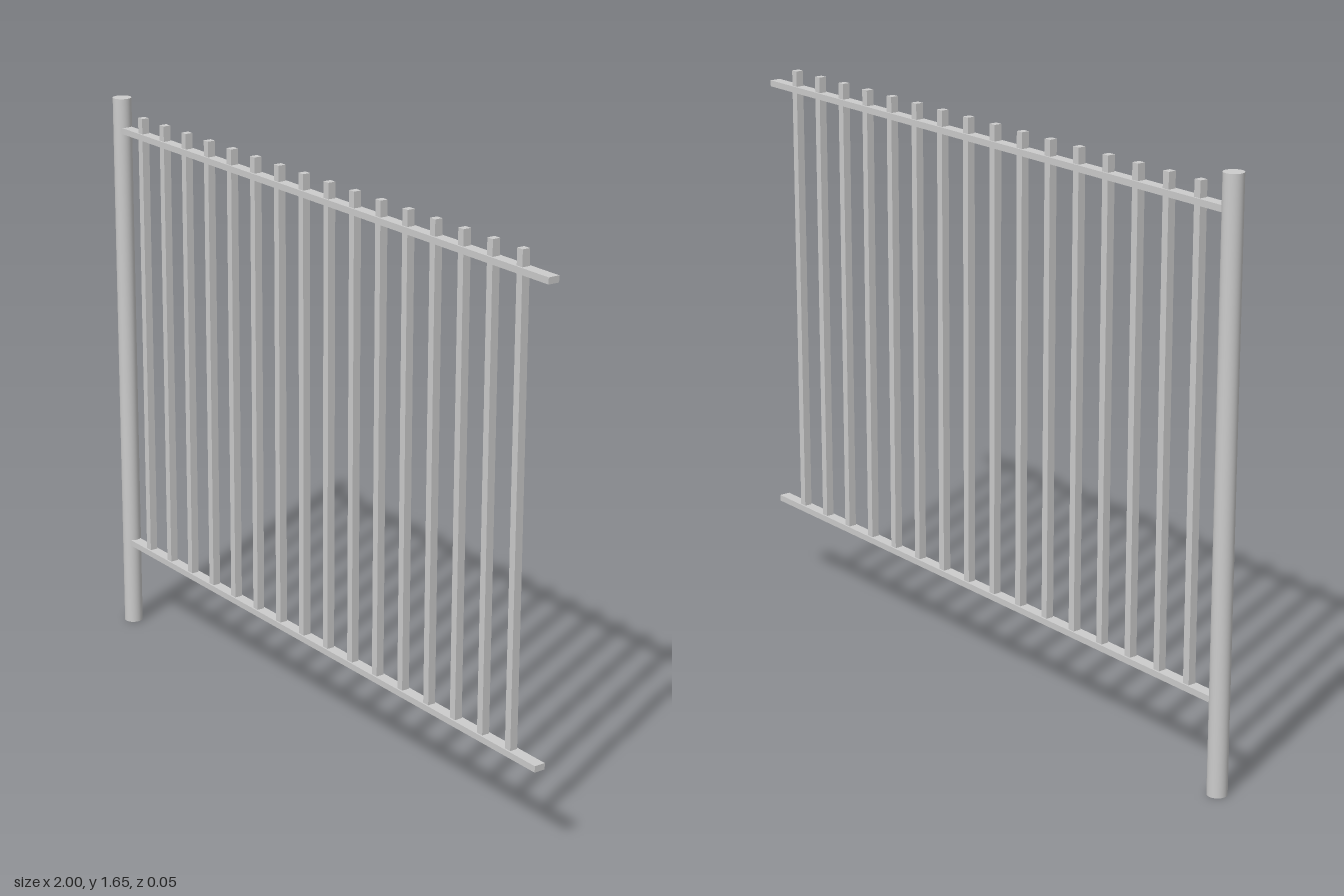
import * as THREE from 'three';

export function createModel() {
  const group = new THREE.Group();
  const material = new THREE.MeshStandardMaterial({ color: 0xcccccc });

  const add = (name, geometry, x, y, z = 0) => {
    const mesh = new THREE.Mesh(geometry, material);
    mesh.name = name;
    mesh.position.set(x, y, z);
    group.add(mesh);
  };

  // Round post at the right end, standing on the ground
  const postRadius = 0.0275, postHeight = 1.65;
  add('post', new THREE.CylinderGeometry(postRadius, postRadius, postHeight, 32),
    -1 + postRadius, postHeight / 2);

  // Two flat horizontal rails running from the post to the open end
  const railStart = -0.951, railEnd = 1, railHeight = 0.018;
  const railGeometry = new THREE.BoxGeometry(railEnd - railStart, railHeight, 0.033);
  const lowerY = 0.263, upperY = 1.556;
  add('lowerRail', railGeometry, (railStart + railEnd) / 2, lowerY);
  add('upperRail', railGeometry, (railStart + railEnd) / 2, upperY);

  // Square pickets standing on the lower rail and passing through the upper one
  const count = 16, first = -0.856, last = 0.883;
  const bottom = lowerY + railHeight / 2, top = 1.61;
  const picketGeometry = new THREE.BoxGeometry(0.022, top - bottom, 0.023);
  for (let i = 0; i < count; i++) {
    add(`picket${i + 1}`, picketGeometry,
      first + (last - first) * i / (count - 1), (bottom + top) / 2);
  }
  return group;
}
